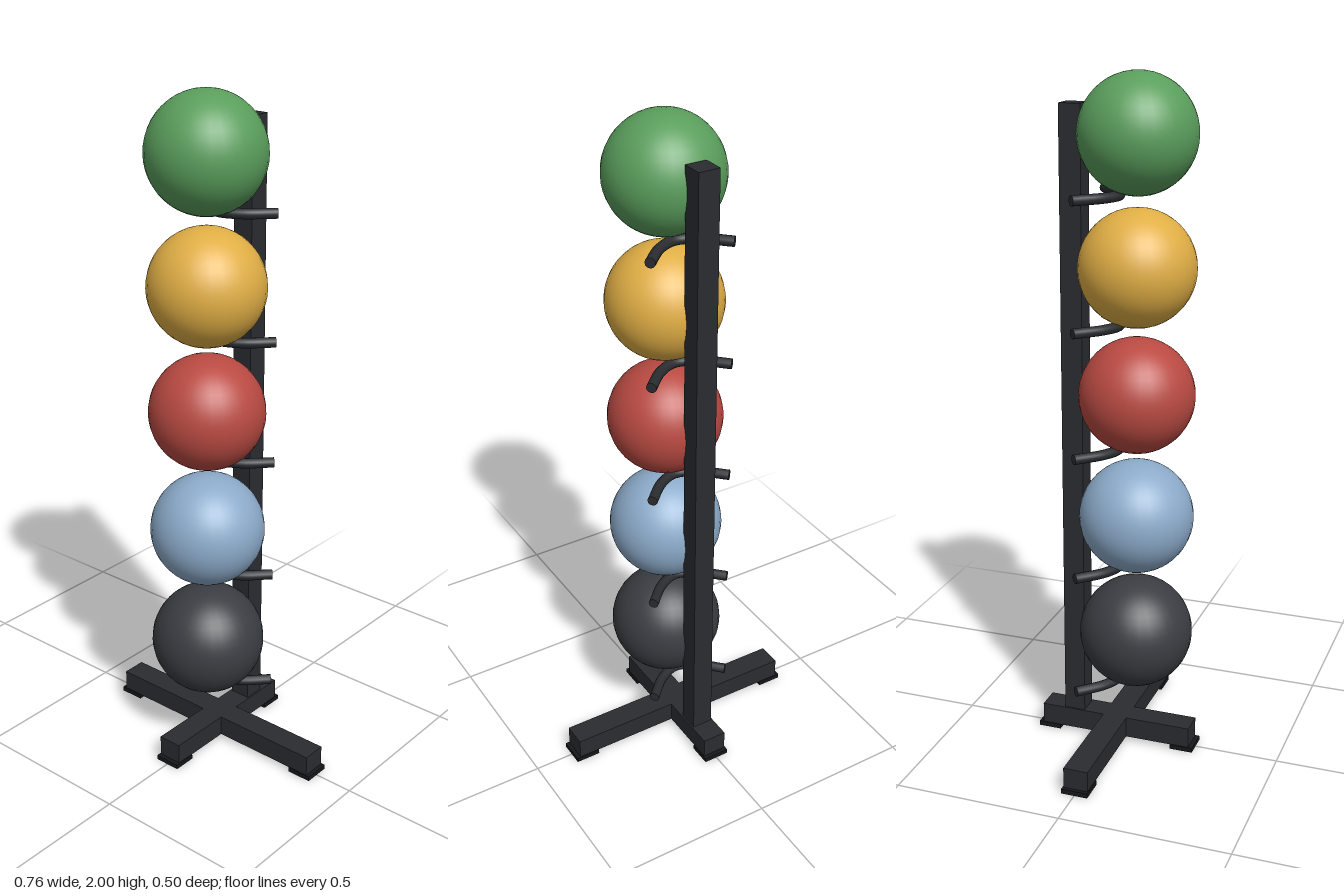
import * as THREE from 'three';

const frameMat = new THREE.MeshStandardMaterial({ color: 0x2a2c30 });
const footMat = new THREE.MeshStandardMaterial({ color: 0x17181a });

export function createModel() {
  const model = new THREE.Group();
  model.name = 'ballRack';

  const add = (name, geometry, material, x = 0, y = 0, z = 0) => {
    const mesh = new THREE.Mesh(geometry, material);
    mesh.name = name;
    mesh.position.set(x, y, z);
    model.add(mesh);
    return mesh;
  };
  const box = (name, w, h, d, material, x, y, z) =>
    add(name, new THREE.BoxGeometry(w, h, d), material, x, y, z);

  // Cross-shaped base with a flat pad under each end
  box('baseCrossBar', 0.736, 0.063, 0.074, frameMat, 0, 0.0445, 0);
  box('baseLongBar', 0.074, 0.063, 0.47, frameMat, 0, 0.0445, 0);
  for (const s of [-1, 1]) {
    box('sideFoot', 0.076, 0.014, 0.08, footMat, s * 0.342, 0.007, 0);
    box('endFoot', 0.08, 0.014, 0.07, footMat, 0, 0.007, s * 0.213);
  }

  // Upright post at the back
  box('post', 0.064, 1.84, 0.064, frameMat, 0, 0.99, -0.132);

  // Bent cradle rod, shared by all tiers
  const rodPath = new THREE.CatmullRomCurve3([
    [-0.13, -0.09], [-0.06, -0.024], [0, 0], [0.06, -0.024], [0.13, -0.09],
  ].map(([x, z]) => new THREE.Vector3(x, 0, z)));
  const rodRadius = 0.015;
  const rodGeometry = new THREE.TubeGeometry(rodPath, 24, rodRadius, 12);
  const capGeometry = new THREE.CircleGeometry(rodRadius, 12);
  const forward = new THREE.Vector3(0, 0, 1);

  // Five tiers: a cradle with a ball on it
  const ballRadius = 0.168;
  const ballGeometry = new THREE.SphereGeometry(ballRadius, 32, 24);
  const ballColors = [0x3a3d42, 0x8cabca, 0xb94a42, 0xe0ae45, 0x5a9e5c];
  ballColors.forEach((color, i) => {
    const y = 0.36 + i * 0.368;
    add('ball', ballGeometry, new THREE.MeshStandardMaterial({ color }), 0, y, 0.055);
    const rod = add('cradleRod', rodGeometry, frameMat, 0, y - 0.17, 0);
    for (const t of [0, 1]) {
      const cap = new THREE.Mesh(capGeometry, frameMat);
      cap.name = 'rodEnd';
      cap.position.copy(rodPath.getPoint(t));
      const outward = rodPath.getTangent(t).multiplyScalar(t ? 1 : -1);
      cap.quaternion.setFromUnitVectors(forward, outward);
      rod.add(cap);
    }
  });

  return model;
}
